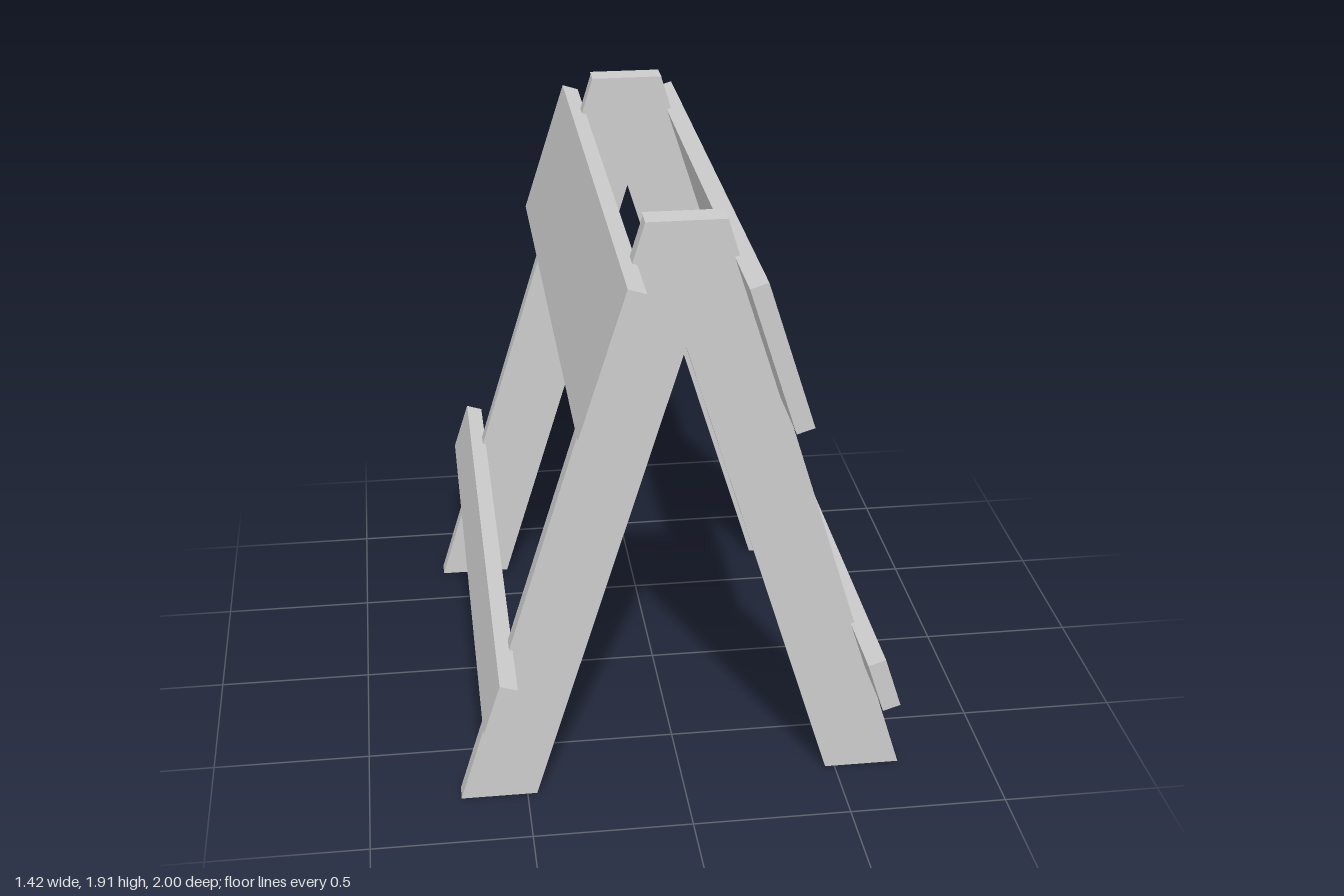
import * as THREE from 'three';

const material = new THREE.MeshStandardMaterial({ color: 0xcccccc, flatShading: true });

// Extrudes an x-y outline between two depths; side = -1 mirrors it across x.
function plank(name, outline, side, zMin, zMax) {
  const shape = new THREE.Shape(outline.map(([x, y]) => new THREE.Vector2(x * side, y)));
  const geometry = new THREE.ExtrudeGeometry(shape, { depth: zMax - zMin, bevelEnabled: false });
  geometry.translate(0, 0, zMin);
  const mesh = new THREE.Mesh(geometry, material);
  mesh.name = name;
  return mesh;
}

export function createModel() {
  const group = new THREE.Group();
  group.name = 'barricade';

  // Outlines for the +x side
  const leg = [[0.47, 0], [0.71, 0], [0.12, 1.91], [-0.12, 1.91]];
  const upperBoard = [[0.288, 1.329], [0.342, 1.346], [0.197, 1.8], [0.143, 1.783]];
  const lowerRail = [[0.586, 0.368], [0.64, 0.385], [0.587, 0.55], [0.533, 0.533]];

  for (const side of [1, -1]) {
    const label = side > 0 ? 'left' : 'right';
    // The crossing legs are half-lapped: each pair is offset slightly in depth
    const shift = -0.0135 * side;
    for (const end of [1, -1]) {
      const z = 0.73 * end + shift;
      group.add(plank(`${label}${end > 0 ? 'Front' : 'Back'}Leg`, leg, side, z - 0.03, z + 0.03));
    }
    // Long boards running the full depth
    group.add(plank(`${label}UpperBoard`, upperBoard, side, -1, 1));
    group.add(plank(`${label}LowerRail`, lowerRail, side, -1, 1));
  }
  return group;
}
